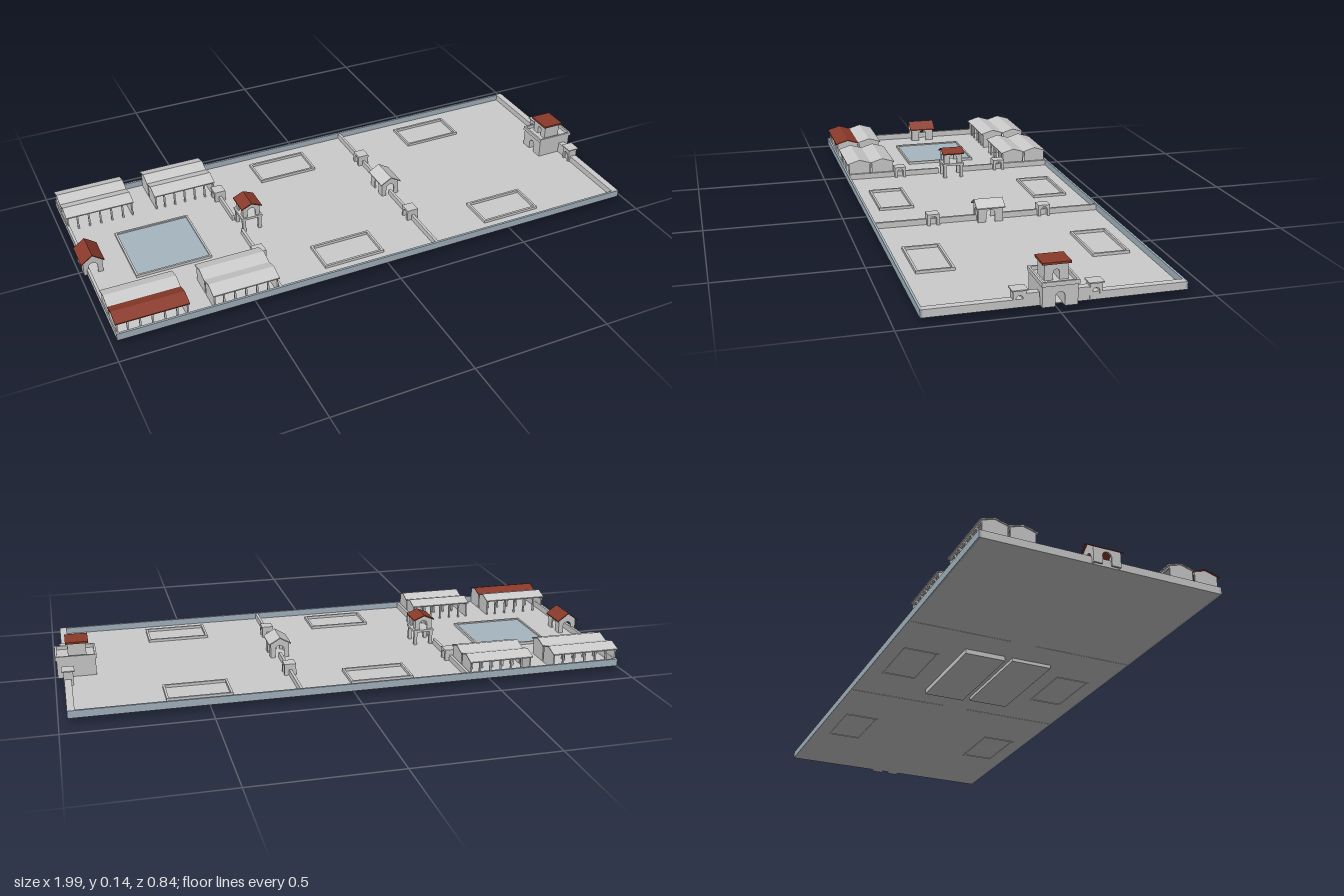
import * as THREE from 'three';

const mat = (color) => new THREE.MeshStandardMaterial({ color, flatShading: true, side: THREE.DoubleSide });
const grey = mat(0xcccccc), red = mat(0x8a3a2a), blue = mat(0xa6b5c0);
const G = 0.02; // ground level

export function createModel() {
  const root = new THREE.Group();

  const add = (parent, name, geo, material = grey) => {
    const m = new THREE.Mesh(geo, material);
    m.name = name;
    parent.add(m);
    return m;
  };
  const group = (name) => {
    const g = new THREE.Group();
    g.name = name;
    root.add(g);
    return g;
  };
  // Box given by its limits
  const box = (parent, name, x0, x1, y0, y1, z0, z1, material) => {
    const m = add(parent, name, new THREE.BoxGeometry(x1 - x0, y1 - y0, z1 - z0), material);
    m.position.set((x0 + x1) / 2, (y0 + y1) / 2, (z0 + z1) / 2);
    return m;
  };
  // Rectangular rim lying on the ground plane
  const frame = (parent, name, x0, x1, y0, y1, z0, z1, t) => {
    for (const [a, b] of [[z0, z0 + t], [z1 - t, z1]]) box(parent, name, x0, x1, y0, y1, a, b);
    for (const [a, b] of [[x0, x0 + t], [x1 - t, x1]]) box(parent, name, a, b, y0, y1, z0 + t, z1 - t);
  };
  // Extrude a shape, centred on its depth; axis is the direction it faces
  const slab = (parent, name, shape, depth, axis, x, y, z, material) => {
    const geo = new THREE.ExtrudeGeometry(shape, { depth, bevelEnabled: false, curveSegments: 8 });
    geo.translate(0, 0, -depth / 2);
    if (axis === 'x') geo.rotateY(Math.PI / 2);
    const m = add(parent, name, geo, material);
    m.position.set(x, y, z);
    return m;
  };
  // Wall outline with an arched doorway and an optional gable peak
  const archShape = (w, h, r, archTop, peak = h) => {
    const s = new THREE.Shape();
    s.moveTo(-w / 2, 0);
    s.lineTo(-r, 0);
    s.lineTo(-r, archTop - r);
    s.absarc(0, archTop - r, r, Math.PI, 0, true);
    s.lineTo(r, 0);
    s.lineTo(w / 2, 0);
    s.lineTo(w / 2, h);
    if (peak > h) s.lineTo(0, peak);
    s.lineTo(-w / 2, h);
    return s;
  };
  const polygon = (pts) => new THREE.Shape(pts.map(([a, b]) => new THREE.Vector2(a, b)));
  const chevron = (w, rise, t) => polygon([[-w / 2, 0], [0, rise], [w / 2, 0], [w / 2, t], [0, rise + t], [-w / 2, t]]);

  // Ground, outer walls and the two cross walls
  box(root, 'ground', -0.975, 0.97, 0.017, G, -0.418, 0.418);
  for (const s of [-1, 1]) box(root, 'longWall', -0.98, 0.97, 0.017, 0.043, s * 0.416 - 0.004, s * 0.416 + 0.004, blue);
  box(root, 'rearEndWall', -0.98, -0.97, 0.017, 0.043, -0.412, 0.412);
  for (const s of [-1, 1]) {
    const span = (a, b) => (s > 0 ? [a, b] : [-b, -a]);
    box(root, 'entranceWall', 0.945, 0.97, 0.017, 0.043, ...span(0.015, 0.412));
    box(root, 'entranceWing', 0.945, 0.97, 0.017, 0.06, ...span(0.058, 0.1));
    // Small side gates beside the entrance
    const side = group('sideGate');
    slab(side, 'sideGateArch', archShape(0.04, 0.053, 0.011, 0.036), 0.034, 'x', 0.955, G, s * 0.12);
    box(side, 'sideGateRoof', 0.933, 0.977, 0.071, 0.075, s * 0.12 - 0.025, s * 0.12 + 0.025);
    for (const x of [-0.41, 0.19]) {
      box(root, 'crossWall', x - 0.005, x + 0.005, 0.016, 0.041, ...span(0.045, 0.412));
      slab(root, 'crossWallGate', archShape(0.045, 0.041, 0.012, 0.034), 0.042, 'x', x, G, s * 0.206);
    }
    // Foundation slabs
    box(root, 'foundation', -0.3, 0.077, s > 0 ? 0.005 : 0, 0.018, ...span(0.014, 0.165));
    // Planting beds
    for (const x of [-0.11, 0.53]) {
      frame(root, 'plantingBed', x - 0.113, x + 0.113, 0.015, 0.03, s * 0.298 - 0.065, s * 0.298 + 0.065, 0.008);
    }
  }

  // Pond
  box(root, 'pondWater', -0.825, -0.565, G, 0.025, -0.13, 0.13, blue);
  frame(root, 'pondRim', -0.832, -0.558, G, 0.03, -0.137, 0.137, 0.007);

  // Open halls: gabled end walls, rows of posts, ridge along x
  const hall = (x0, x1, z, roofMat) => {
    const g = group('hall');
    const xc = (x0 + x1) / 2;
    const gable = polygon([[-0.042, 0], [0.042, 0], [0.042, 0.06], [0, 0.072], [-0.042, 0.06]]);
    for (const x of [x0 + 0.006, x1 - 0.006]) slab(g, 'hallEndWall', gable, 0.005, 'x', x, G, z);
    slab(g, 'hallRoof', chevron(0.098, 0.015, 0.004), x1 - x0, 'x', xc, 0.077, z, roofMat);
    for (const s of [-1, 1]) {
      const zp = z + s * 0.039;
      box(g, 'hallBeam', x0 + 0.008, x1 - 0.008, 0.074, 0.08, zp - 0.003, zp + 0.003);
      for (let i = 1; i < 6; i++) {
        const x = x0 + ((x1 - x0) * i) / 6;
        box(g, 'hallPost', x - 0.003, x + 0.003, G, 0.075, zp - 0.003, zp + 0.003);
      }
    }
  };
  for (const [x0, x1] of [[-0.98, -0.73], [-0.65, -0.415]]) {
    for (const z of [-0.367, -0.275, 0.275, 0.367]) hall(x0, x1, z, x0 < -0.9 && z > 0.3 ? red : grey);
  }

  // Gabled kiosk, arched on all four sides, ridge along z
  const kiosk = (name, x, w, d, base, eave, peak, r, roofMat) => {
    const g = group(name);
    const h = eave - base, t = 0.006;
    for (const s of [-1, 1]) {
      slab(g, name + 'GableWall', archShape(w, h, r, h * 0.8, peak - base - 0.003), t, 'z', x, base, s * (d / 2 - t / 2));
      slab(g, name + 'SideWall', archShape(d - 2 * t, h, r, h * 0.8), t, 'x', x + s * (w / 2 - t / 2), base, 0);
    }
    const rw = w + 0.014;
    slab(g, name + 'Roof', chevron(rw, (peak - eave) * rw / w, 0.004), d + 0.014, 'z', x,
      eave - (peak - eave) * (rw / w - 1) - 0.003, 0, roofMat);
    return g;
  };
  kiosk('middleGate', 0.19, 0.068, 0.092, G, 0.078, 0.098, 0.016, grey);
  kiosk('rearGate', -0.957, 0.068, 0.096, G, 0.075, 0.1, 0.016, red);

  // Raised pavilion on four legs
  const pavilion = kiosk('pavilion', -0.368, 0.064, 0.074, 0.079, 0.122, 0.136, 0.015, red);
  box(pavilion, 'pavilionFloor', -0.407, -0.329, 0.07, 0.079, -0.043, 0.043);
  for (const x of [-0.398, -0.338]) {
    for (const z of [-0.034, 0.034]) box(pavilion, 'pavilionLeg', x - 0.006, x + 0.006, G, 0.07, z - 0.006, z + 0.006);
  }

  // Entrance gatehouse with a parapet and an arched tower
  const gate = group('gatehouse');
  slab(gate, 'gatehouseBody', archShape(0.112, 0.068, 0.015, 0.046), 0.135, 'x', 0.923, 0.017, 0);
  frame(gate, 'gatehouseParapet', 0.852, 0.995, 0.084, 0.098, -0.06, 0.06, 0.007);
  slab(gate, 'towerBody', archShape(0.076, 0.052, 0.01, 0.034), 0.064, 'x', 0.918, 0.085, 0);
  box(gate, 'towerRoof', 0.877, 0.957, 0.137, 0.144, -0.046, 0.046, red);

  root.name = 'walledCourtyard';
  return root;
}
